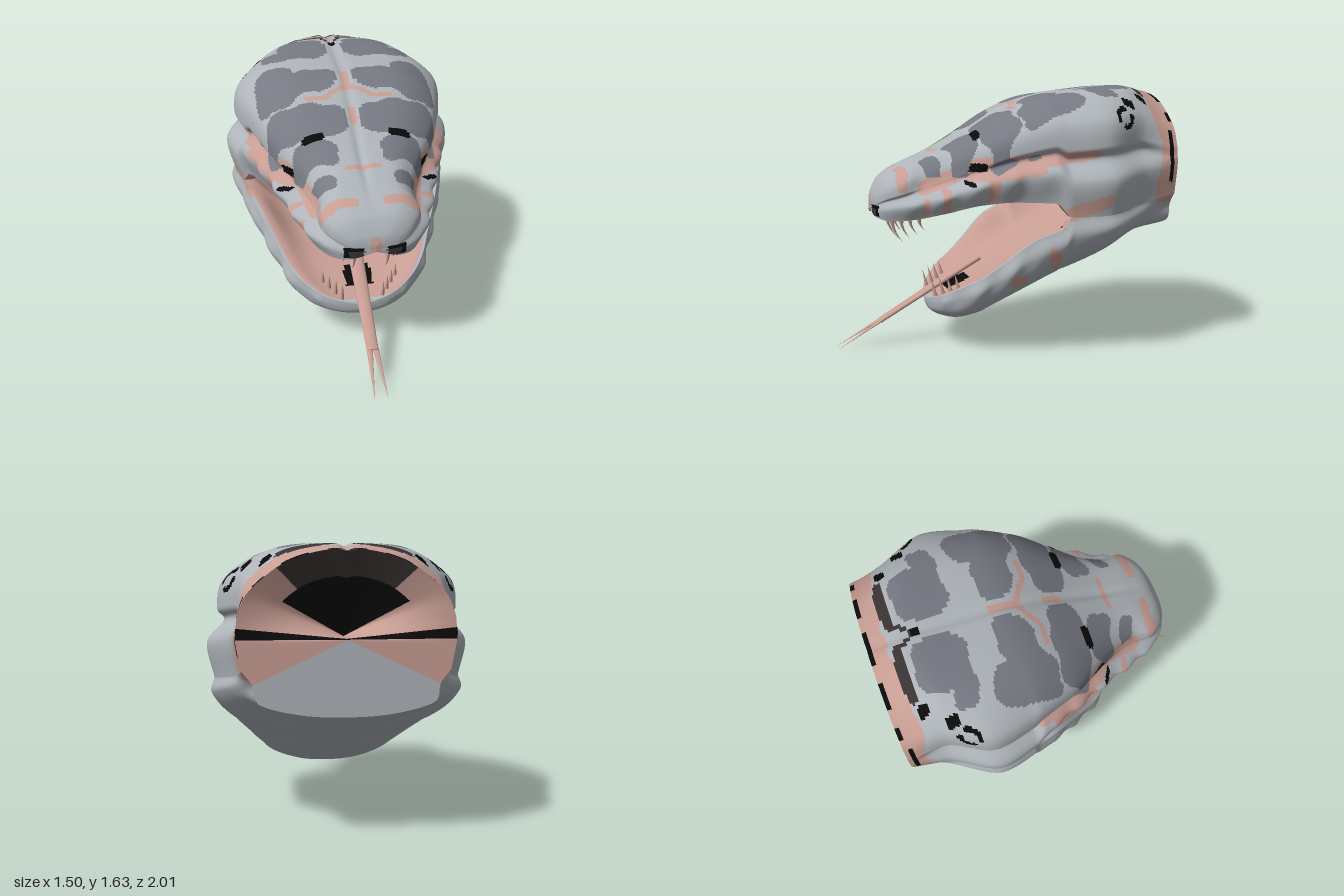
import * as THREE from 'three';

const mat = (name, color) => {
  const m = new THREE.MeshStandardMaterial({ color, side: THREE.DoubleSide });
  m.name = name;
  return m;
};
const V = (x, y, z) => new THREE.Vector3(x, y, z);
const { lerp, smoothstep } = THREE.MathUtils;

// Head stations: z, crown height, half width, lip height
const HEAD = [
  [-1, 1.6, 0.58, 0.97], [-0.8, 1.63, 0.61, 0.92], [-0.5, 1.6, 0.75, 0.87], [-0.28, 1.57, 0.7, 0.86],
  [-0.2, 1.55, 0.67, 0.94], [0, 1.46, 0.59, 0.94], [0.2, 1.34, 0.51, 0.92], [0.4, 1.23, 0.43, 0.87],
  [0.6, 1.14, 0.35, 0.83], [0.72, 1.07, 0.26, 0.82], [0.78, 0.98, 0.15, 0.835], [0.8, 0.92, 0, 0.88],
];
// Jaw stations: z, rim half width, rim height, chin height
const JAW = [
  [-1, 0.55, 0.97, 0.72], [-0.8, 0.58, 0.92, 0.69], [-0.28, 0.665, 0.86, 0.44], [-0.25, 0.655, 0.8, 0.43],
  [-0.1, 0.6, 0.73, 0.345], [0.1, 0.5, 0.56, 0.24], [0.2, 0.45, 0.48, 0.19], [0.3, 0.38, 0.42, 0.17],
  [0.38, 0.28, 0.36, 0.185], [0.43, 0.17, 0.32, 0.21], [0.455, 0, 0.28, 0.26],
];

// Smooth, non-overshooting interpolation of a station table
function lookup(t, z) {
  let i = 0;
  while (i < t.length - 2 && z > t[i + 1][0]) i++;
  const h = t[i + 1][0] - t[i][0], s = (z - t[i][0]) / h;
  const slope = (k, c) => (t[k + 1][c] - t[k][c]) / (t[k + 1][0] - t[k][0]);
  const tangent = (k, c) => {
    if (k === 0) return slope(0, c);
    if (k === t.length - 1) return slope(k - 1, c);
    const a = slope(k - 1, c), b = slope(k, c);
    return a * b > 0 ? (2 * a * b) / (a + b) : 0;
  };
  return t[i].map((p, c) => c === 0 ? z :
    p * (1 + 2 * s) * (1 - s) ** 2 + t[i + 1][c] * s * s * (3 - 2 * s) +
    h * (tangent(i, c) * s * (1 - s) ** 2 + tangent(i + 1, c) * s * s * (s - 1)));
}

// Mirrored section through [x, y] points running from the edge to the middle
function section(half, side, z, n) {
  const pts = half.map(([x, y]) => V(side * x, y, z));
  for (let i = half.length - 2; i >= 0; i--) pts.push(V(-side * half[i][0], half[i][1], z));
  const c = new THREE.CatmullRomCurve3(pts, false, 'catmullrom', 0.5);
  return Array.from({ length: n + 1 }, (_, j) => c.getPoint(j / n));
}

// Lofted grid; each cell goes to the material chosen by paint(x, y, z, across)
function loft(name, rows, paint, mats) {
  const w = rows[0].length, pos = [], buckets = {};
  rows.forEach(r => r.forEach(p => pos.push(p.x, p.y, p.z)));
  for (let i = 0; i < rows.length - 1; i++) for (let j = 0; j < w - 1; j++) {
    const m = V(0, 0, 0).add(rows[i][j]).add(rows[i][j + 1]).add(rows[i + 1][j]).add(rows[i + 1][j + 1]).multiplyScalar(0.25);
    const a = i * w + j, c = a + w;
    (buckets[paint(m.x, m.y, m.z, (j + 0.5) / (w - 1))] ??= []).push(a, a + 1, c, a + 1, c + 1, c);
  }
  const g = new THREE.BufferGeometry(), keys = Object.keys(buckets), index = [];
  keys.forEach((k, n) => {
    g.addGroup(index.length, buckets[k].length, n);
    for (const v of buckets[k]) index.push(v);
  });
  g.setAttribute('position', new THREE.Float32BufferAttribute(pos, 3));
  g.setIndex(index);
  g.computeVertexNormals();
  const mesh = new THREE.Mesh(g, keys.map(k => mats[k]));
  mesh.name = name;
  return mesh;
}

// Rounded markings: centre, half sizes and slant, from above (x, z) and from the side (z, y)
const TOP = {
  black: [[0.26, 0.195, 0.07, 0.02, 0], [0, -0.72, 0.025, 0.025, 0], [0.42, -0.82, 0.03, 0.03, 0], [0.52, -0.69, 0.03, 0.035, 0]],
  charcoal: [[0.21, -0.85, 0.16, 0.03, 0], [0.04, -0.79, 0.04, 0.025, -1.6]],
  pink: [[0, -0.22, 0.015, 0.11, 0], [0.08, -0.1, 0.07, 0.02, 0.6], [0.2, -0.055, 0.08, 0.016, 0], [0, 0.07, 0.03, 0.06, 0],
    [0, 0.41, 0.11, 0.016, 0], [0.21, 0.63, 0.14, 0.028, -0.1]],
  slate: [[0.22, -0.64, 0.16, 0.15, 0], [0.4, -0.57, 0.09, 0.07, 0], [0.3, -0.2, 0.24, 0.11, 0.15], [0.44, -0.23, 0.12, 0.19, 0],
    [0.28, 0.08, 0.24, 0.1, -0.1], [0.26, 0.28, 0.13, 0.08, -0.2], [0.25, 0.47, 0.08, 0.045, -0.15]],
};
const SIDE = {
  black: [[0.22, 1.14, 0.06, 0.025, 0], [0.27, 1.05, 0.025, 0.013, 0.3]],
  pink: [[-0.1, 1.185, 0.36, 0.035, -0.11], [0.1, 1.14, 0.24, 0.065, -0.08], [0.42, 1.06, 0.13, 0.045, -0.4], [0.14, 1, 0.03, 0.1, 0],
    [0.4, 0.94, 0.025, 0.08, 0], [0.64, 1.05, 0.03, 0.06, 0], [0.51, 0.9, 0.02, 0.06, 0], [-0.36, 0.91, 0.15, 0.045, -0.35],
    [-0.2, 0.61, 0.04, 0.06, 1], [-0.01, 0.47, 0.05, 0.04, 0]],
};
const marking = (set, a, b, wave) => Object.keys(set).find(k => set[k].some(([ca, cb, ra, rb, slant]) =>
  ((a - ca) / ra) ** 4 + ((b + (k === 'slate' ? wave : 0) - cb - slant * (a - ca)) / rb) ** 4 < 1));

function skin(sx, y, z) {
  const x = Math.abs(sx);
  // nostrils and front stripe
  if (z > 0.6 && y > 0.84 && y < 0.905 && x > 0.065 && x < 0.18) return y > 0.885 || x > 0.15 ? 'black' : 'charcoal';
  if (z > 0.7 && x < 0.03 && y > 0.84 && y < 0.96) return 'pink';
  // neck band with its dark trim
  if (z < -0.95 && z > -0.975 && y > 1.04 && y < 1.35) return 'black';
  if (z < -0.975 && y > 1.4 && Math.sin(x * 26 + 1) > -0.3) return 'black';
  if (z < -0.88 + 0.02 * Math.sin(y * 14) && y > 0.91) return 'pink';
  // broken ring behind the temple
  const r = Math.hypot(z + 0.63, y - 1.43);
  if (x > 0.3 && r < 0.065) return r > 0.038 && Math.sin(2 * Math.atan2(y - 1.43, z + 0.63)) > -0.75 ? 'black' : 'grey';
  const wave = 0.012 * Math.sin(x * 30) * Math.min(1, x * 5);
  return (y > 1.08 && marking(TOP, x, z, wave)) || (x > 0.2 && marking(SIDE, z, y, 0)) || 'grey';
}

const bumps = z => z < -0.2 || z > 0.7 ? 0 : 0.012 * Math.sin(z * 34) * Math.min(1, (z + 0.2) * 5, (0.7 - z) * 5);
const neck = z => 1 - smoothstep(z, -1, -0.7); // 1 at the cut, 0 on the head
const throat = z => smoothstep(z, -0.85, -0.35);
const floorY = z => 0.32 + 0.42 * (0.4 - z); // ramp from the chin up into the throat
function lipAt(z) {
  const [, top, w, lip] = lookup(HEAD, z);
  return [w * lerp(0.95, 0.88, smoothstep(z, -0.28, 0)), lip, top, w];
}
// Behind the mouth corner the jaw rim meets the lip
function jawAt(z) {
  const [, x, y, chin] = lookup(JAW, z);
  return z > -0.28 ? [x, y, chin] : [...lipAt(z).slice(0, 2), chin];
}

// Lip, lip bulge, cheek groove, overhanging brow and crown; the neck turns elliptical
function headRow(z, n) {
  const [x, lip, top, w] = lipAt(z), k = neck(z);
  const slim = smoothstep(z, 0, 0.45) * (1 - smoothstep(z, 0.5, 0.68));
  const at = (fx, fy, nx, ny) => [w * lerp(fx, nx, k), lerp(lip, top, lerp(fy, ny, k))];
  const bulge = at(1, 0.28, 1, 0.27);
  bulge[0] += bumps(z);
  const pts = section([[x, lip], bulge, at(0.87 - 0.08 * slim, 0.45, 0.99, 0.38), at(0.92 - 0.18 * slim, 0.55, 0.97, 0.48),
    at(0.86 - 0.2 * slim, 0.78, 0.86, 0.67), at(0.54 - 0.1 * slim, 0.975, 0.5, 0.91), [0, top]], 1, z, n);
  const crease = 0.018 * (1 - smoothstep(z, 0.3, 0.75));
  for (const p of pts) if (p.y > 1) p.y -= crease * Math.exp(-((p.x / 0.025) ** 2));
  return pts;
}
function jawRow(z, n) {
  const [x, y, chin] = jawAt(z), h = y - chin, b = z < 0.4 ? bumps(z) : 0;
  return section([[x, y], [x * lerp(1.02, 0.9, neck(z)) + b, y - 0.3 * h], [x * 0.84, y - 0.7 * h],
    [x * 0.44, y - 0.94 * h], [0, chin]], -1, z, n);
}
function palateRow(z, n) {
  const [x, y, top] = lipAt(z), d = lerp(floorY(z) - y, Math.min(0.15, 0.5 * (top - y)), throat(z));
  return section([[x, y], [x * 0.87, y + 0.1 * d], [x * 0.55, y + 0.8 * d], [0, y + d]], -1, z, n);
}
function floorRow(z, n) {
  const [x, y] = jawAt(z), d = Math.max(0, y - floorY(z));
  return section([[x, y], [x * 0.87, y - 0.1 * d], [x * 0.55, y - 0.8 * d], [0, y - d]], 1, z, n);
}
// Rows packed more tightly towards the front tip
const rowsOf = (fn, z0, z1, count, n) => Array.from({ length: count + 1 },
  (_, i) => fn(z0 + (z1 - z0) * (1 - (1 - i / count) ** 1.5), n));

export function createModel() {
  const mats = {
    grey: mat('grey skin', 0xaeb4b9), slate: mat('slate markings', 0x777983),
    pink: mat('pink flesh', 0xc79d93), black: mat('black', 0x0a0a0a), charcoal: mat('charcoal', 0x3a3333),
  };
  const model = new THREE.Group();
  model.name = 'snakeHead';

  // Outer skin and mouth lining
  const rim = u => u < 0.07 || u > 0.93;
  model.add(
    loft('upperHead', rowsOf(headRow, -1, 0.8, 210, 180), skin, mats),
    loft('lowerJaw', rowsOf(jawRow, -1, 0.455, 110, 80), skin, mats),
    loft('palate', rowsOf(palateRow, -0.85, 0.8, 80, 48), (x, y, z, u) => rim(u) && z > -0.2 ? 'grey' : 'pink', mats),
    loft('mouthFloor', rowsOf(floorRow, -0.85, 0.455, 90, 80), (x, y, z, u) => {
      const ax = Math.abs(x);
      if (z < -0.45 && ax < 0.09 && ax < (-0.45 - z) * 0.7) return 'black';
      if (z > 0.18 && z < 0.33 && ax < 0.085) return 'black';
      return (rim(u) && z > -0.2) || z > 0.42 ? 'grey' : 'pink';
    }, mats));

  // Cut end of the neck, hollow at the top
  const outline = [...headRow(-1, 64), ...jawRow(-1, 32).slice(1)];
  const capRows = Array.from({ length: 21 }, (_, i) => outline.map(p => {
    const r = i / 20, hollow = Math.max(0, Math.min(1, (p.y - 1.13) * 4));
    return V(p.x * r, 1.13 + (p.y - 1.13) * r, -1 + 0.2 * (1 - r) * hollow);
  }));
  model.add(loft('neckCut', capRows, (x, y) => {
    const a = Math.atan2(y - 1.13, Math.abs(x)), r = Math.hypot(x / 0.58, (y - 1.13) / 0.45);
    if (a < -0.45) return 'grey';
    if (a > 0.5 && r < 0.72) return 'black';
    if (a > 0.8) return 'charcoal';
    return a > 0.02 && a < 0.1 ? 'black' : 'pink';
  }, mats));

  // Curved teeth; a negative length hangs down and sweeps back
  const tooth = (name, x, y, z, len, r) => {
    const size = Math.abs(len), g = new THREE.ConeGeometry(r, size, 8, 6).translate(0, size / 2, 0);
    if (len < 0) g.rotateZ(Math.PI);
    const p = g.attributes.position;
    for (let i = 0; i < p.count; i++) {
      const s = Math.abs(p.getY(i)) / size;
      p.setZ(i, p.getZ(i) + size * (len < 0 ? 0.25 * s - 0.6 * s * s : 0.25 * s));
    }
    g.computeVertexNormals();
    const m = new THREE.Mesh(g, mats.pink);
    m.name = name;
    m.position.set(x, y, z);
    model.add(m);
  };
  for (const s of [1, -1]) {
    for (let i = 0; i < 4; i++) tooth('upperTooth', s * (0.1 + 0.05 * i), 0.855, 0.67 - 0.045 * i, -0.2 + 0.033 * i, 0.017);
    for (let i = 0; i < 4; i++) tooth('lowerTooth', s * (0.13 + 0.035 * i), 0.31 + 0.022 * i, 0.41 - 0.04 * i, 0.13 - 0.01 * i, 0.015);
  }

  // Forked tongue, built along +y and then tipped forward
  const tongue = new THREE.Group();
  tongue.name = 'tongue';
  const piece = (name, r1, r0, len, x, y, lean) => {
    const m = new THREE.Mesh(new THREE.CylinderGeometry(r1, r0, len, 16).translate(0, len / 2, 0), mats.pink);
    m.name = name;
    m.position.set(x, y, 0);
    m.rotation.z = lean;
    m.scale.z = 0.45;
    tongue.add(m);
  };
  piece('tongueShaft', 0.036, 0.05, 0.75, 0, 0, 0);
  for (const s of [1, -1]) piece('tongueFork', 0.001, 0.02, 0.315, s * 0.018, 0.735, -s * 0.07);
  tongue.position.set(0, 0.53, 0.1);
  tongue.rotation.x = Math.PI / 2 + Math.atan2(0.525, 0.9);
  model.add(tongue);
  return model;
}
